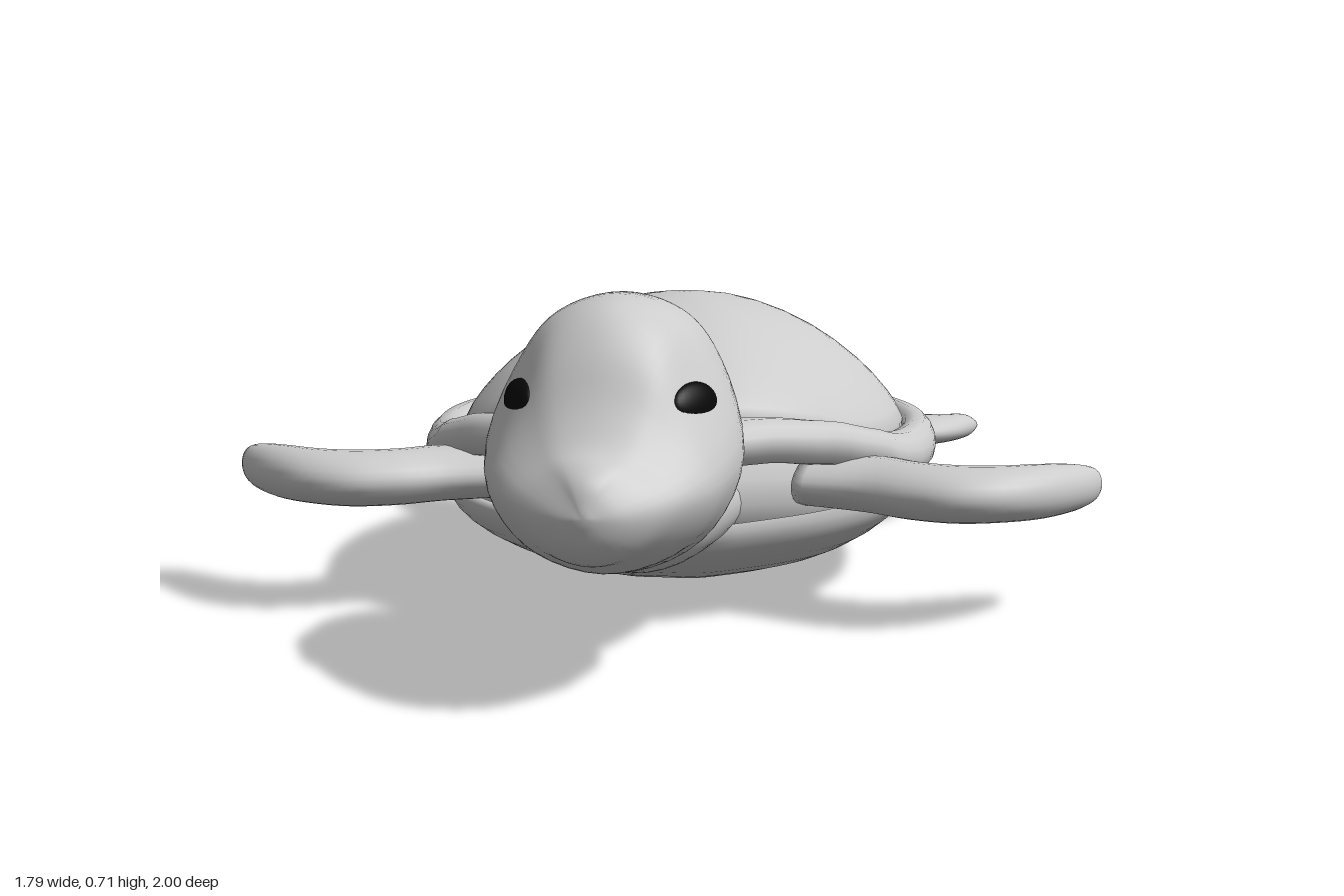
import * as THREE from 'three';

const V = (x, y, z) => new THREE.Vector3(x, y, z);

// Closed skin through equal-length rings, always facing outward
function loft(rings, caps = true) {
  const n = rings[0].length, pts = rings.flat(), idx = [];
  for (let r = 0; r < rings.length - 1; r++)
    for (let i = 0; i < n; i++) {
      const a = r * n + i, b = r * n + (i + 1) % n;
      idx.push(a, b, a + n, b, b + n, a + n);
    }
  if (caps) {
    for (const [r, flip] of [[0, true], [rings.length - 1, false]]) {
      const c = pts.length;
      pts.push(rings[r].reduce((s, p) => s.add(p), V(0, 0, 0)).divideScalar(n));
      for (let i = 0; i < n; i++) {
        const a = r * n + i, b = r * n + (i + 1) % n;
        flip ? idx.push(b, a, c) : idx.push(a, b, c);
      }
    }
  }
  let volume = 0;
  const cross = V(0, 0, 0);
  for (let i = 0; i < idx.length; i += 3)
    volume += pts[idx[i]].dot(cross.crossVectors(pts[idx[i + 1]], pts[idx[i + 2]]));
  if (volume < 0) idx.reverse();
  const g = new THREE.BufferGeometry().setFromPoints(pts);
  g.setIndex(idx);
  g.computeVertexNormals();
  return g;
}

// Smooth interpolation of rows of section values
function refine(rows, steps) {
  const out = [];
  for (let i = 0; i < rows.length - 1; i++)
    for (let s = 0; s < steps; s++) {
      const t = s / steps, p = rows[Math.max(i - 1, 0)], a = rows[i], b = rows[i + 1];
      const q = rows[Math.min(i + 2, rows.length - 1)];
      out.push(a.map((v, k) => v + 0.5 * t * (b[k] - p[k] + t * (2 * p[k] - 5 * v + 4 * b[k] - q[k]
        + t * (3 * (v - b[k]) + q[k] - p[k])))));
    }
  out.push(rows[rows.length - 1]);
  return out;
}

// Piecewise height along z
function heightAt(table, z) {
  if (z <= table[0][0]) return table[0][1];
  for (let i = 1; i < table.length; i++)
    if (z <= table[i][0]) {
      const [a, b] = [table[i - 1], table[i]];
      return THREE.MathUtils.lerp(a[1], b[1], THREE.MathUtils.smoothstep(z, a[0], b[0]) * 0.4
        + 0.6 * (z - a[0]) / (b[0] - a[0]));
    }
  return table[table.length - 1][1];
}

// Mirrored closed outline in the ground plane
function outline(half, count = 88) {
  const mirrored = half.slice(1, -1).reverse().map(([x, z]) => [-x, z]);
  const curve = new THREE.CatmullRomCurve3([...half, ...mirrored].map(([x, z]) => V(x, 0, z)), true);
  return Array.from({ length: count }, (_, i) => curve.getPoint(i / count));
}

const outer = outline([[0, 0.38], [0.13, 0.375], [0.25, 0.3], [0.37, 0.2], [0.47, 0.07], [0.53, -0.1],
  [0.55, -0.28], [0.53, -0.48], [0.47, -0.66], [0.36, -0.84], [0.16, -0.97], [0, -1]]);
const inner = outline([[0, 0.25], [0.12, 0.23], [0.22, 0.185], [0.31, 0.11], [0.4, -0.02], [0.455, -0.16],
  [0.475, -0.3], [0.46, -0.47], [0.41, -0.63], [0.31, -0.79], [0.14, -0.885], [0, -0.9]]);
const rimTop = [[-1, 0.235], [-0.9, 0.285], [-0.75, 0.315], [-0.3, 0.33], [-0.1, 0.335], [0, 0.35],
  [0.1, 0.385], [0.2, 0.412], [0.3, 0.427], [0.38, 0.425]];
const bellyTop = [[-1, 0.15], [-0.8, 0.195], [-0.3, 0.215], [0.3, 0.185]];

export function createModel() {
  const group = new THREE.Group();
  const skin = new THREE.MeshStandardMaterial({ color: 0xcccccc });
  skin.name = 'light grey';
  const black = new THREE.MeshStandardMaterial({ color: 0x080808 });
  black.name = 'eye black';
  const add = (name, geometry, material = skin) => {
    const m = new THREE.Mesh(geometry, material);
    m.name = name;
    group.add(m);
    return m;
  };

  // Domed upper shell
  const domeRing = (s, sink = 0) => inner.map(p => {
    const edge = heightAt(rimTop, p.z);
    return V(p.x * s, edge - sink + (0.6 - edge) * Math.pow(1 - s * s, 0.8), -0.31 + (p.z + 0.31) * s);
  });
  const domeScales = [1, 0.97, 0.93, 0.87, 0.8, 0.7, 0.6, 0.48, 0.36, 0.24, 0.12, 0.03];
  add('shellDome', loft([domeRing(1, 0.06), ...domeScales.map(s => domeRing(s))]));

  // Rolled rim around the shell: [inner to outer, drop from the rim height]
  const rimSection = [[-0.05, 0.02], [0.1, 0.002], [0.35, -0.006], [0.65, -0.003], [0.85, 0.012], [0.97, 0.032],
    [1, 0.05], [0.95, 0.07], [0.8, 0.085], [0.4, 0.085], [-0.05, 0.07], [-0.05, 0.02]];
  add('shellRim', loft(rimSection.map(([t, drop]) => outer.map((o, i) => {
    const p = inner[i].clone().lerp(o, t);
    p.y = heightAt(rimTop, o.z) * t + heightAt(rimTop, inner[i].z) * (1 - t) - drop;
    return p;
  })), false));

  // Body between the two shell halves
  add('body', loft([0.12, 0.17, 0.22, 0.27, 0.32].map((y, k) => outer.map(p => {
    const s = [0.78, 0.86, 0.88, 0.88, 0.84][k];
    return V(p.x * s, y + (p.z > 0 ? p.z * 0.08 : p.z * 0.03), -0.31 + (p.z + 0.31) * s);
  }))));

  // Lower shell with a small lip
  const bellyRing = (s, lift = 0) => outer.map(p => {
    const z = -0.33 + (p.z + 0.33) * (p.z > -0.33 ? 0.89 : 0.95);
    const edge = heightAt(bellyTop, z);
    const depth = Math.pow(Math.max(0, 1 - s * s), 0.65);
    return V(p.x * 0.93 * s, edge + lift - (edge - 0.003) * depth, -0.33 + (z + 0.33) * s);
  });
  add('lowerShell', loft([bellyRing(0.9, -0.03).map(p => V(p.x, p.y + 0.09, p.z)), bellyRing(1, 0.028), bellyRing(1, 0.01),
    ...[0.995, 0.97, 0.93, 0.87, 0.78, 0.68, 0.55, 0.4, 0.25, 0.1].map(s => bellyRing(s))]));

  // Neck: z, top, bottom, half width
  add('neck', loft(refine([[0.15, 0.34, 0.15, 0.2], [0.3, 0.37, 0.14, 0.18], [0.42, 0.38, 0.145, 0.155],
    [0.52, 0.4, 0.17, 0.14], [0.62, 0.4, 0.21, 0.1]], 4).map(([z, top, bot, w]) =>
    Array.from({ length: 32 }, (_, i) => {
      const a = i / 32 * Math.PI * 2;
      return V(Math.cos(a) * w, (top + bot) / 2 + Math.sin(a) * (top - bot) / 2, z);
    }))));

  // Head: z, top, brow half width, brow y, cheek half width, cheek y, bottom
  const headRows = [[0.346, 0.54, 0.015, 0.53, 0.02, 0.52, 0.5], [0.36, 0.6, 0.07, 0.55, 0.09, 0.49, 0.43],
    [0.4, 0.655, 0.12, 0.58, 0.15, 0.47, 0.36], [0.47, 0.69, 0.155, 0.6, 0.195, 0.46, 0.25],
    [0.56, 0.706, 0.17, 0.6, 0.222, 0.44, 0.19], [0.66, 0.71, 0.17, 0.6, 0.235, 0.42, 0.2],
    [0.74, 0.69, 0.155, 0.57, 0.225, 0.41, 0.22], [0.8, 0.63, 0.135, 0.54, 0.21, 0.4, 0.23],
    [0.85, 0.54, 0.115, 0.49, 0.19, 0.395, 0.245], [0.9, 0.478, 0.09, 0.45, 0.155, 0.385, 0.265],
    [0.95, 0.455, 0.06, 0.43, 0.11, 0.375, 0.28], [0.985, 0.425, 0.03, 0.405, 0.06, 0.37, 0.315],
    [1, 0.38, 0.006, 0.376, 0.012, 0.37, 0.36]];
  add('head', loft(refine(headRows, 4).map(([z, top, wu, yu, w, yc, bot]) => {
    const half = [[0, top], [wu * 0.62, top - (top - yu) * 0.3], [wu, yu], [w, yc],
      [w * 0.68, bot + (yc - bot) * 0.3], [0, bot]];
    const loop = [...half, ...half.slice(1, -1).reverse().map(([x, y]) => [-x, y])];
    const curve = new THREE.CatmullRomCurve3(loop.map(([x, y]) => V(x, y, z)), true);
    return Array.from({ length: 50 }, (_, i) => curve.getPoint(i / 50));
  })));

  // Tail
  add('tail', loft(refine([[-0.8, 0.18, 0.05], [-0.9, 0.17, 0.035], [-0.96, 0.15, 0.022], [-0.985, 0.14, 0.006]], 3)
    .map(([z, y, r]) => Array.from({ length: 16 }, (_, i) => {
      const a = i / 16 * Math.PI * 2;
      return V(Math.cos(a) * r, y + Math.sin(a) * r * 0.7, z);
    }))));

  // Flippers: leading x, z, trailing x, z, centre y, half thickness
  const frontRows = [[0.28, 0.2, 0.36, -0.04, 0.275, 0.05], [0.4, 0.23, 0.5, 0.0, 0.275, 0.054],
    [0.5, 0.28, 0.55, 0.062, 0.275, 0.055], [0.6, 0.308, 0.62, 0.087, 0.275, 0.055],
    [0.7, 0.285, 0.68, 0.086, 0.275, 0.054], [0.79, 0.215, 0.74, 0.068, 0.273, 0.053],
    [0.86, 0.125, 0.8, 0.035, 0.27, 0.046], [0.892, 0.05, 0.85, 0.012, 0.267, 0.033],
    [0.893, 0.008, 0.882, 0.002, 0.265, 0.012]];
  const rearRows = [[0.38, -0.58, 0.28, -0.76, 0.235, 0.04], [0.47, -0.645, 0.38, -0.82, 0.235, 0.036],
    [0.53, -0.67, 0.46, -0.855, 0.233, 0.033], [0.585, -0.74, 0.53, -0.89, 0.23, 0.03],
    [0.62, -0.83, 0.57, -0.915, 0.226, 0.025], [0.63, -0.89, 0.6, -0.928, 0.222, 0.012]];
  const flipper = (rows, side) => loft(refine(rows, 4).map(([lx, lz, tx, tz, y, h]) =>
    Array.from({ length: 28 }, (_, i) => {
      const a = i / 28 * Math.PI * 2, t = 0.5 - 0.5 * Math.cos(a);
      return V(side * THREE.MathUtils.lerp(lx, tx, t),
        y + Math.sin(a) * h * (1.12 - 0.55 * t * t), THREE.MathUtils.lerp(lz, tz, t));
    })));

  for (const [label, side] of [['left', 1], ['right', -1]]) {
    add(label + 'FrontFlipper', flipper(frontRows, side));
    add(label + 'RearFlipper', flipper(rearRows, side));
    // Flattened eye resting on the head
    const eye = add(label + 'Eye', new THREE.SphereGeometry(1, 28, 18), black);
    eye.scale.set(0.062, 0.036, 0.018);
    eye.position.set(side * 0.158, 0.535, 0.752);
    eye.lookAt(side * 0.988, 0.82, 1.2);
  }
  return group;
}
